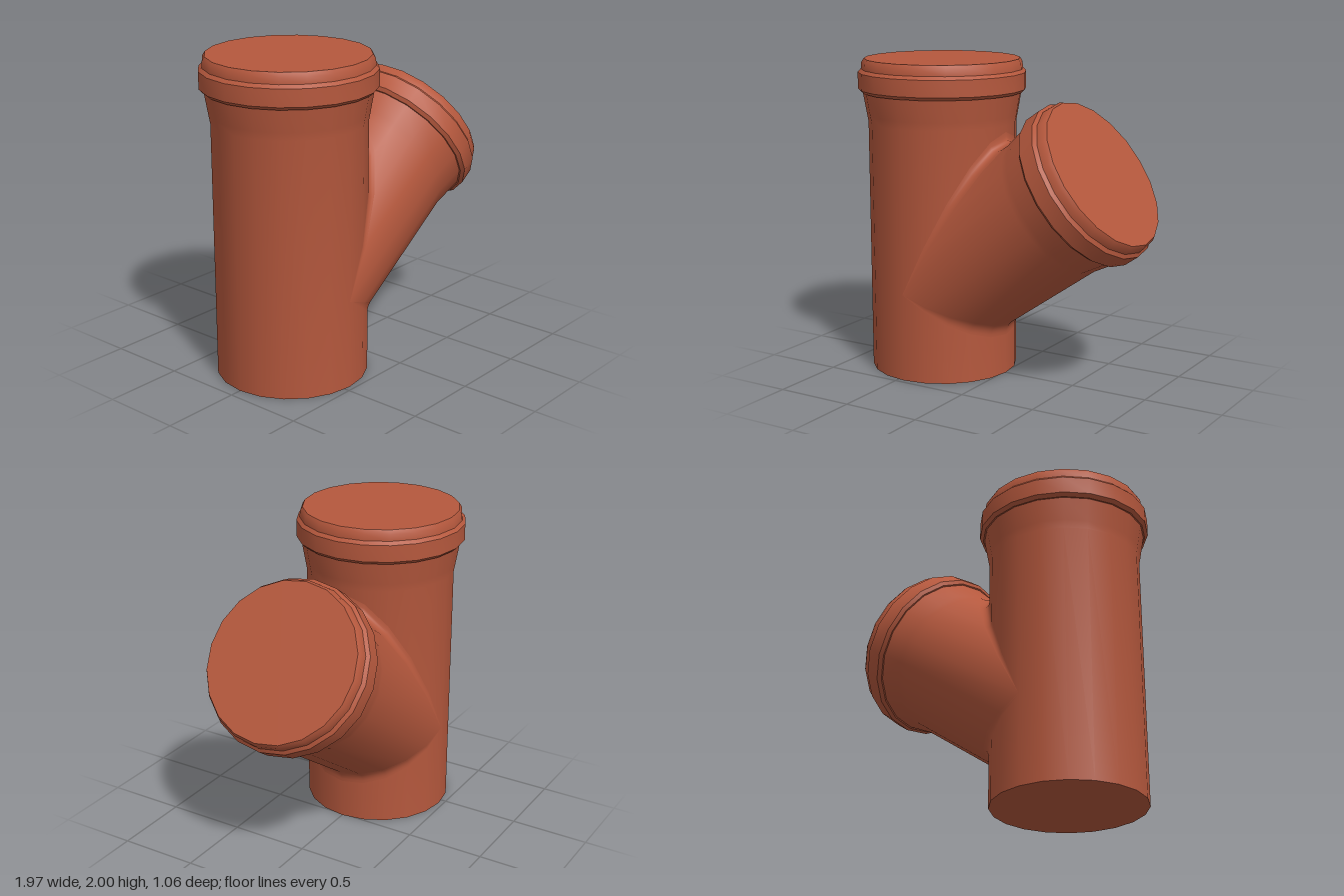
import * as THREE from 'three';
import { toCreasedNormals } from 'three/addons/utils/BufferGeometryUtils.js';

const SIDES = 20;
const R = 0.47;                              // pipe radius
const TILT = THREE.MathUtils.degToRad(55);   // branch lean away from vertical
const SIN = Math.sin(TILT), COS = Math.cos(TILT);
const JOINT = new THREE.Vector3(-0.457, 0.56, 0); // where both axes meet
const BRANCH_LENGTH = 1.41;

// Distance along the branch at which its side line leaves the main pipe
// (c = 1 on the upper line, -1 on the lower line)
const leave = c => R * (Math.abs(c) + COS * c) / SIN;

// Pipe that flares into a socket with a raised collar; closed at the mouth
function pipeGeometry(length, closedBase) {
  const profile = [
    [R, 0], [R, length - 0.4], [0.479, length - 0.35], [0.503, length - 0.21],
    [0.512, length - 0.21], [0.532, length - 0.19], [0.532, length - 0.085],
    [0.512, length - 0.065], [0.508, length - 0.025], [0.493, length], [0, length],
  ];
  if (closedBase) profile.unshift([0, 0]);
  return new THREE.LatheGeometry(profile.map(p => new THREE.Vector2(...p)), SIDES);
}

// Concave blend along the seam between the two pipes
function filletGeometry() {
  const steps = 6, positions = [], index = [];
  const axis = new THREE.Vector3(SIN, COS, 0);
  for (let i = 0; i < SIDES; i++) {
    const phi = i / SIDES * Math.PI * 2;
    const c = Math.cos(phi), top = c > 0;
    const seam = new THREE.Vector3(-COS * R * c, SIN * R * c, R * Math.sin(phi))
      .add(JOINT).addScaledVector(axis, leave(c));
    const onMain = seam.clone();
    onMain.y += c * (top ? 0.1 : 0.06);
    const onBranch = seam.clone().addScaledVector(axis, Math.abs(c) * (top ? 0.12 : 0.06));
    const curve = new THREE.QuadraticBezierCurve3(onMain, seam, onBranch);
    for (let j = 0; j <= steps; j++) positions.push(...curve.getPoint(j / steps).toArray());
  }
  const at = (i, j) => (i % SIDES) * (steps + 1) + j;
  for (let i = 0; i < SIDES; i++) {
    for (let j = 0; j < steps; j++) {
      index.push(at(i, j), at(i + 1, j), at(i, j + 1));
      index.push(at(i + 1, j), at(i + 1, j + 1), at(i, j + 1));
    }
  }
  const geometry = new THREE.BufferGeometry();
  geometry.setAttribute('position', new THREE.Float32BufferAttribute(positions, 3));
  geometry.setIndex(index);
  geometry.computeVertexNormals();
  return geometry;
}

export function createModel() {
  const model = new THREE.Group();
  model.name = 'pipeJunction';
  const clay = new THREE.MeshStandardMaterial({ color: 0xb5583d });
  const add = (name, geometry) => {
    const mesh = new THREE.Mesh(geometry, clay);
    mesh.name = name;
    model.add(mesh);
    return mesh;
  };
  const crease = geometry => toCreasedNormals(geometry, Math.PI / 5);

  // Upright pipe
  add('mainPipe', crease(pipeGeometry(2, true))).position.set(JOINT.x, 0, 0);

  // Slanted branch, its lower ring cut to follow the main pipe
  const branch = pipeGeometry(BRANCH_LENGTH, false);
  const p = branch.attributes.position;
  for (let i = 0; i < p.count; i++) {
    if (p.getY(i) < 1e-6) p.setY(i, leave(-p.getX(i) / R));
  }
  const branchMesh = add('branchPipe', crease(branch));
  branchMesh.position.copy(JOINT);
  branchMesh.rotation.z = -TILT;

  // Seam blend
  add('jointFillet', filletGeometry());

  return model;
}
